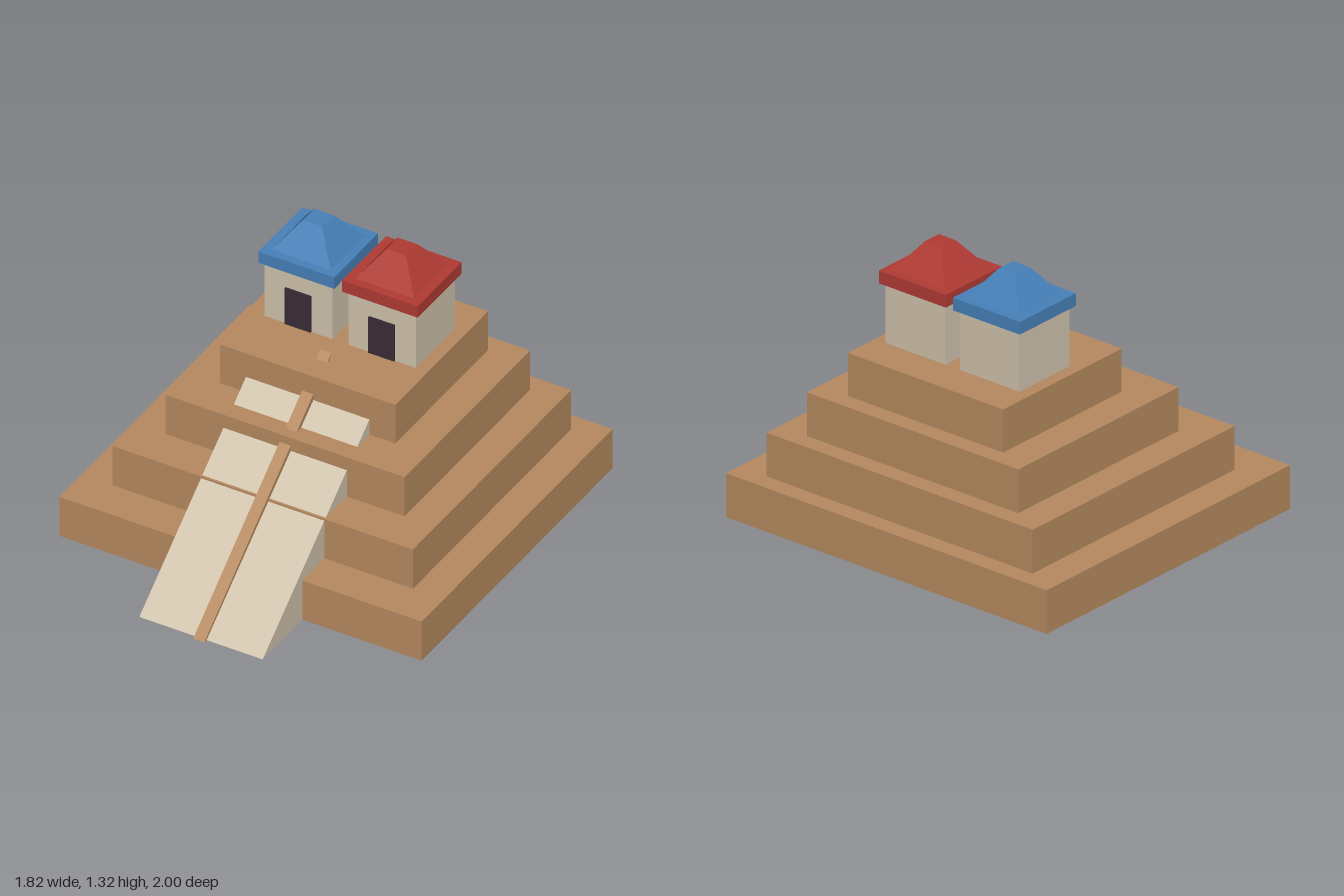
import * as THREE from 'three';

const paint = (name, color) => {
  const m = new THREE.MeshStandardMaterial({ color });
  m.name = name;
  return m;
};

export function createModel() {
  const clay = paint('clay', 0xb5895f);
  const stone = paint('pale stone', 0xd0c2ac);
  const red = paint('red', 0xb03a33);
  const blue = paint('blue', 0x4680b8);
  const dark = paint('doorway dark', 0x3a2b36);

  const model = new THREE.Group();
  model.name = 'steppedPyramid';

  const add = (parent, name, geometry, material) => {
    const mesh = new THREE.Mesh(geometry, material);
    mesh.name = name;
    parent.add(mesh);
    return mesh;
  };

  // Box given by its width, vertical range and depth range, centred on x = 0
  const block = (parent, name, width, y0, y1, z0, z1, material) => {
    const mesh = add(parent, name, new THREE.BoxGeometry(width, y1 - y0, z1 - z0), material);
    mesh.position.set(0, (y0 + y1) / 2, (z0 + z1) / 2);
    return mesh;
  };

  // Side profile of [z, y] points, extruded across x
  const sideProfile = (name, points, width, material) => {
    const shape = new THREE.Shape(points.map(([z, y]) => new THREE.Vector2(z, y)));
    const geometry = new THREE.ExtrudeGeometry(shape, { depth: width, bevelEnabled: false });
    geometry.rotateY(-Math.PI / 2).translate(width / 2, 0, 0);
    return add(model, name, geometry, material);
  };

  // Four stepped tiers: half width, bottom, top, back, front
  [
    [0.91, 0, 0.21, -1, 0.64],
    [0.755, 0.21, 0.42, -0.91, 0.45],
    [0.6, 0.42, 0.63, -0.822, 0.257],
    [0.44, 0.63, 0.837, -0.735, 0.063],
  ].forEach(([half, y0, y1, z0, z1], i) => block(model, `tier${i + 1}`, half * 2, y0, y1, z0, z1, clay));

  // Stairway ramp and its central rail
  sideProfile('stairRamp', [[0.98, 0], [-0.09, 0], [-0.09, 0.83]], 0.62, stone);
  sideProfile('centralRail', [[1, 0], [0.965, 0], [-0.06, 0.808], [-0.093, 0.866]], 0.056, clay);

  // Twin shrines on the summit
  const shrine = (name, x, roofColor) => {
    const group = new THREE.Group();
    group.name = name;
    group.position.x = x;
    block(group, 'walls', 0.34, 0.837, 1.126, -0.552, -0.217, stone);
    block(group, 'doorway', 0.13, 0.837, 1.03, -0.217, -0.209, dark);
    block(group, 'eaves', 0.38, 1.126, 1.187, -0.575, -0.198, roofColor);
    const frustum = new THREE.CylinderGeometry(0.048 * Math.SQRT2, 0.148 * Math.SQRT2, 0.133, 4);
    const roof = add(group, 'roof', frustum.rotateY(Math.PI / 4).toNonIndexed(), roofColor);
    roof.geometry.computeVertexNormals();
    roof.position.set(0, 1.2535, -0.387);
    model.add(group);
  };
  shrine('leftShrine', 0.21, red);
  shrine('rightShrine', -0.21, blue);

  return model;
}
